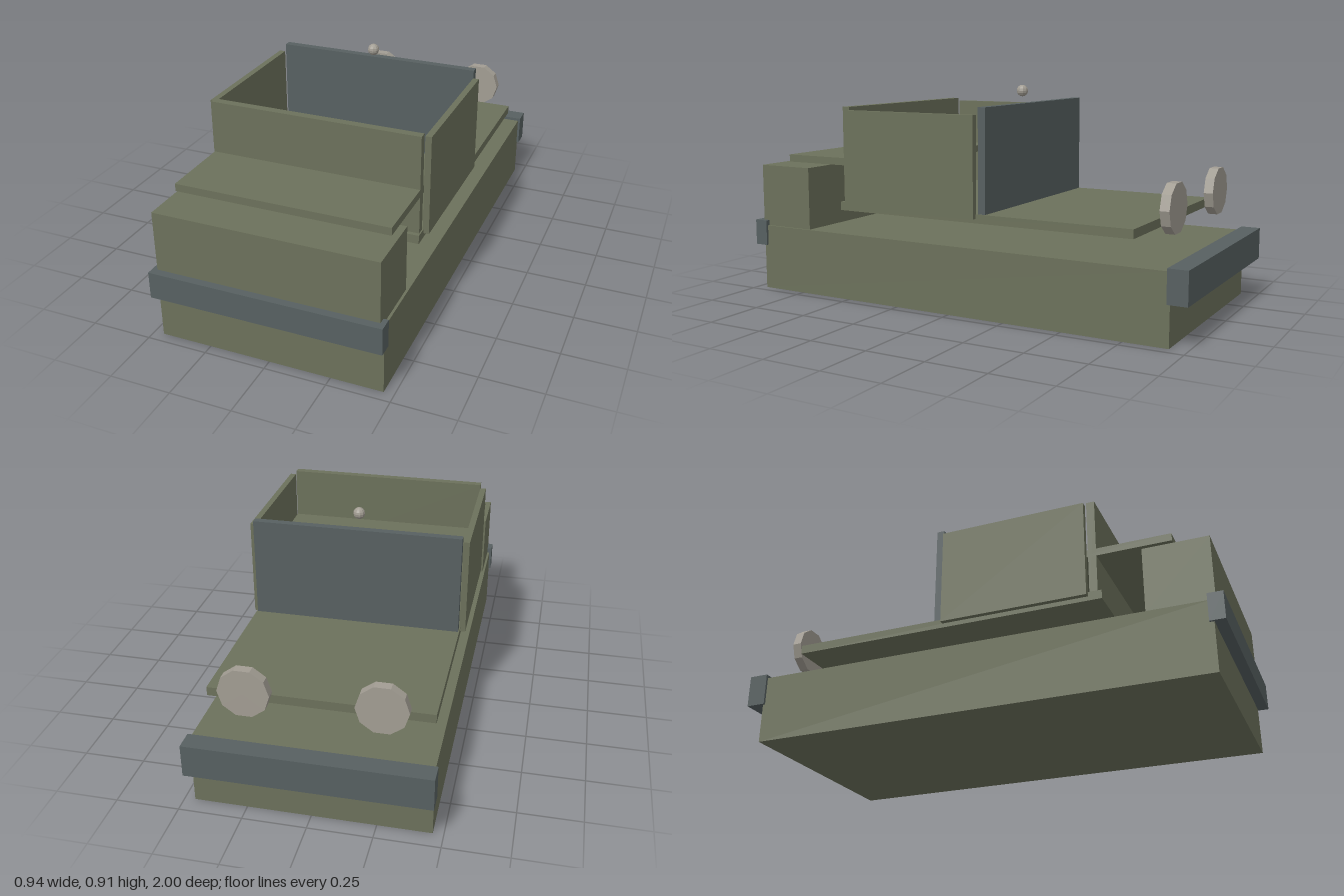
import * as THREE from 'three';

const material = (name, color, flatShading = false) => {
  const m = new THREE.MeshStandardMaterial({ color });
  m.name = name;
  m.flatShading = flatShading;
  return m;
};

export function createModel() {
  const olive = material('olive', 0x6c715b);
  const steel = material('steel', 0x576061);
  const lamp = material('lampGrey', 0xa29d93, true);
  const model = new THREE.Group();
  model.name = 'utilityVehicle';

  const add = (name, geometry, mat, x, y, z) => {
    const mesh = new THREE.Mesh(geometry, mat);
    mesh.name = name;
    mesh.position.set(x, y, z);
    model.add(mesh);
    return mesh;
  };
  // Box given by its extents on each axis
  const box = (name, mat, [x0, x1], [y0, y1], [z0, z1]) =>
    add(name, new THREE.BoxGeometry(x1 - x0, y1 - y0, z1 - z0), mat,
      (x0 + x1) / 2, (y0 + y1) / 2, (z0 + z1) / 2);
  const wide = (w) => [-w, w];

  // Lower body and bumpers
  box('hull', olive, wide(0.459), [0, 0.282], [-0.93, 0.957]);
  box('frontBumper', steel, wide(0.469), [0.195, 0.305], [0.94, 1]);
  box('rearBumper', steel, wide(0.469), [0.163, 0.295], [-1, -0.92]);
  box('noseBlock', olive, wide(0.449), [0.282, 0.55], [0.71, 0.968]);

  // Open cabin: floor, walls and the shelf running through the front wall
  box('floor', olive, wide(0.438), [0.38, 0.416], [-0.78, 0.545]);
  box('frontWall', olive, wide(0.433), [0.4, 0.818], [0.495, 0.528]);
  box('rearWall', steel, wide(0.433), [0.4, 0.835], [-0.16, -0.128]);
  box('hoodShelf', olive, wide(0.433), [0.571, 0.602], [0.32, 0.825]);

  // Mirrored side walls and ten-sided rear lamps
  for (const [side, s] of [['left', 1], ['right', -1]]) {
    const xs = [s * 0.434, s * 0.459].sort((a, b) => a - b);
    box(side + 'Wall', olive, xs, [0.398, 0.805], [-0.12, 0.49]);
    const disc = new THREE.CylinderGeometry(0.1, 0.1, 0.038, 10, 1, false, Math.PI / 2);
    disc.rotateX(Math.PI / 2);
    add(side + 'Lamp', disc, lamp, s * 0.257, 0.476, -0.865);
  }

  // Small ball above the cabin
  add('ball', new THREE.SphereGeometry(0.0245, 10, 8), lamp, 0, 0.882, -0.092);

  return model;
}
